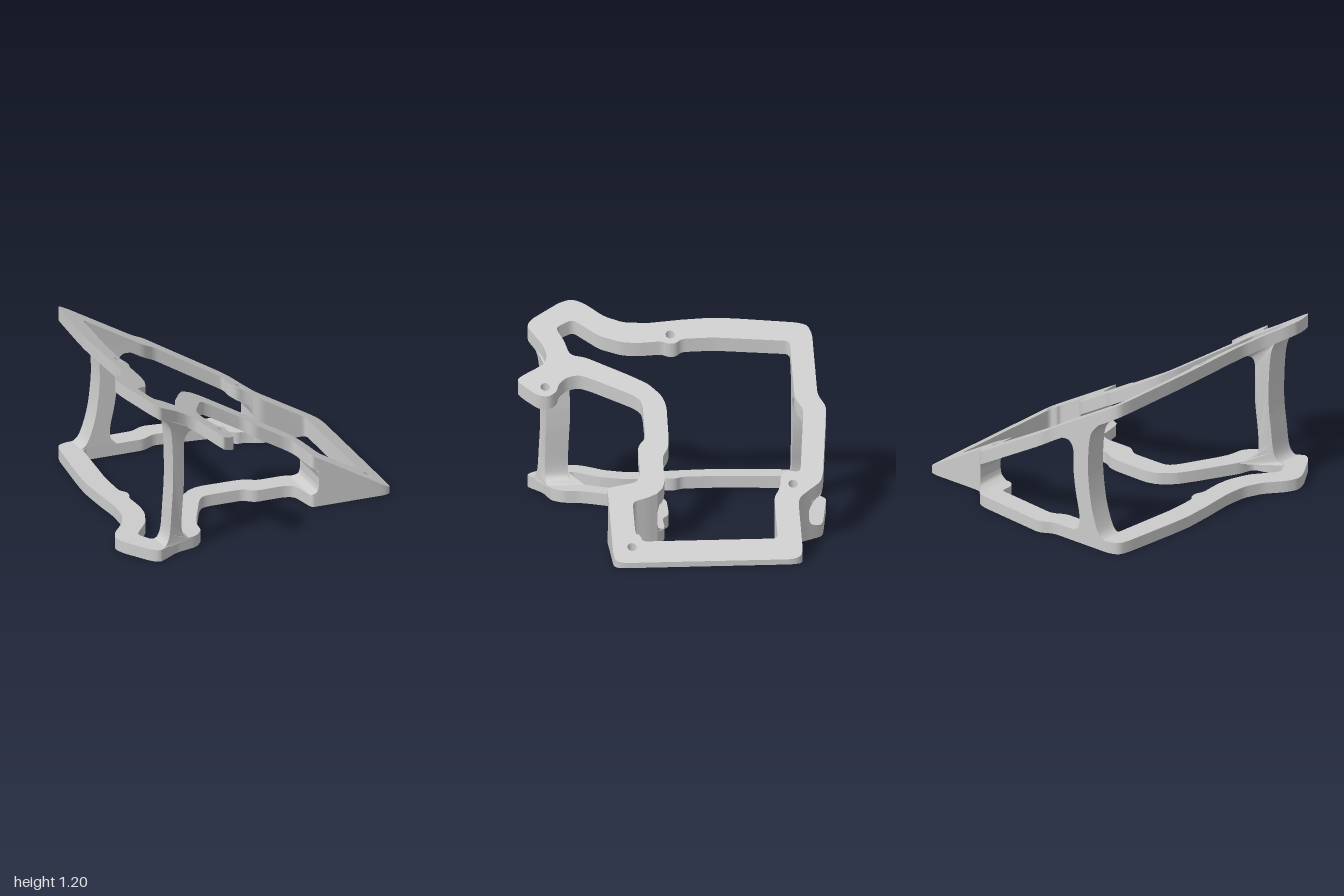
import * as THREE from 'three';
import { toCreasedNormals } from 'three/addons/utils/BufferGeometryUtils.js';

const material = new THREE.MeshStandardMaterial({ color: 0xcccccc });
const CUT = 0.48; // where the open frame meets the solid low end
const upper = (x) => 1.2 - 0.5825 * (x + 1);
const lower = (x) => upper(x) - 0.09;

// Closed shape from [x, z] points, every corner softened except at the cut
function roundedShape(points) {
  const shape = new THREE.Shape();
  const pts = points.map(([x, z]) => new THREE.Vector2(x, -z));
  pts.forEach((p, i) => {
    const prev = pts[(i + pts.length - 1) % pts.length];
    const next = pts[(i + 1) % pts.length];
    const r = p.x === CUT ? 0 : 0.035;
    const toward = (q) => p.clone().lerp(q, Math.min(0.45, r / p.distanceTo(q)));
    const a = toward(prev), b = toward(next);
    if (i === 0) shape.moveTo(a.x, a.y); else shape.lineTo(a.x, a.y);
    if (r) shape.quadraticCurveTo(p.x, p.y, b.x, b.y);
  });
  shape.closePath();
  return shape;
}

// Plan extruded between two height functions of x
function slab(name, points, bottom, top, holes = []) {
  const shape = roundedShape(points);
  for (const [x, z, r] of holes) {
    shape.holes.push(new THREE.Path().absarc(x, -z, r, 0, Math.PI * 2, true));
  }
  const geo = new THREE.ExtrudeGeometry(shape, { depth: 1, bevelEnabled: false, curveSegments: 6 });
  geo.rotateX(-Math.PI / 2);
  const p = geo.attributes.position;
  for (let i = 0; i < p.count; i++) {
    p.setY(i, p.getY(i) > 0.5 ? top(p.getX(i)) : bottom(p.getX(i)));
  }
  return finish(name, geo);
}

function finish(name, geo) {
  geo.computeVertexNormals();
  const mesh = new THREE.Mesh(toCreasedNormals(geo, 0.55), material);
  mesh.name = name;
  return mesh;
}

// Piecewise linear lookup of z at x
function along(table) {
  return (x) => {
    let i = 1;
    while (i < table.length - 1 && x > table[i][0]) i++;
    const [x0, z0] = table[i - 1], [x1, z1] = table[i];
    return z0 + (z1 - z0) * THREE.MathUtils.clamp((x - x0) / (x1 - x0), 0, 1);
  };
}

// Front-elevation profile extruded so that its ends follow the frame's plan
function upright(name, left, right, zBack, zFront) {
  const shape = new THREE.Shape();
  const edges = [left, right].map((e) =>
    new THREE.SplineCurve(e.map(([x, y]) => new THREE.Vector2(x, y))).getPoints(28));
  shape.setFromPoints([...edges[0], ...edges[1]]);
  const geo = new THREE.ExtrudeGeometry(shape, { depth: 1, bevelEnabled: false });
  const back = along(zBack), front = along(zFront);
  const p = geo.attributes.position;
  for (let i = 0; i < p.count; i++) {
    p.setZ(i, (p.getZ(i) > 0.5 ? front : back)(p.getX(i)));
  }
  return finish(name, geo);
}

// Outer edge: back, high side, then front corner
const outerBack = [
  [CUT, -0.83], [0.42, -0.91], [0.36, -0.93], [-0.15, -0.99], [-0.24, -0.94], [-0.7, -0.94],
  [-0.77, -0.915], [-0.79, -0.84], [-0.83, -0.45], [-0.84, -0.3], [-0.83, -0.1], [-0.81, 0.12],
  [-0.82, 0.28], [-0.87, 0.4], [-0.97, 0.52], [-1.005, 0.6], [-0.98, 0.68], [-0.86, 0.87],
  [-0.81, 0.905], [-0.76, 0.875], [-0.66, 0.81], [-0.58, 0.79],
];
const hook = [
  [-0.52, 0.81], [-0.43, 0.97], [-0.4, 1.0], [-0.36, 0.965], [-0.28, 0.87], [-0.27, 0.8],
  [-0.31, 0.745], [-0.36, 0.735], [-0.41, 0.68],
];
const plainCorner = [[-0.5, 0.77], [-0.44, 0.7]];
const outerArm = [
  [-0.43, 0.6], [-0.4, 0.52], [-0.27, 0.26], [-0.23, 0.21], [-0.18, 0.2], [0.06, 0.2],
  [0.12, 0.255], [0.33, 0.255], [0.39, 0.28], [0.43, 0.475], [CUT, 0.475],
];
const inner = [
  [CUT, 0.155], [0.44, 0.115], [0.38, 0.1], [0.2, 0.1], [0.14, 0.06], [0.08, 0.05],
  [-0.18, 0.045], [-0.26, 0.07], [-0.35, 0.15], [-0.42, 0.27], [-0.56, 0.54], [-0.58, 0.63],
  [-0.61, 0.65], [-0.69, 0.67], [-0.79, 0.72], [-0.85, 0.605], [-0.72, 0.44], [-0.67, 0.3],
  [-0.66, 0.2], [-0.67, 0.04], [-0.65, 0.0], [-0.65, -0.05], [-0.685, -0.09], [-0.69, -0.3],
  [-0.65, -0.79], [-0.22, -0.79], [-0.13, -0.84], [0.34, -0.785], [0.33, -0.7], [0.37, -0.65],
  [0.43, -0.65], [CUT, -0.63],
];
const lowEnd = [
  [CUT, 0.475], [0.94, 0.475], [0.985, 0.46], [1, 0.41], [1, -0.68], [0.98, -0.74], [0.93, -0.755],
  [0.57, -0.755], [0.53, -0.77], [CUT, -0.83], [CUT, -0.63], [0.53, -0.6], [0.84, -0.6],
  [0.84, 0.28], [0.79, 0.29], [0.78, 0.32], [0.54, 0.32], [0.51, 0.22], [CUT, 0.155],
];

export function createModel() {
  const group = new THREE.Group();
  const topPlan = [...outerBack, ...hook, ...outerArm, ...inner];
  const basePlan = [...outerBack, ...plainCorner, ...outerArm, ...inner];
  const level = (y) => () => y;

  // Sloping top rail with screw holes
  group.add(slab('topRail', topPlan, lower, upper,
    [[-0.72, -0.02, 0.03], [0.43, -0.73, 0.03], [-0.345, 0.82, 0.03]]));

  // Base rail with shallow round foot recesses underneath
  group.add(slab('baseRailUnderside', basePlan, level(0), level(0.03),
    [[-0.71, -0.865, 0.05], [-0.81, 0.81, 0.05], [-0.46, 0.5, 0.05]]));
  group.add(slab('baseRail', basePlan, level(0.03), level(0.08)));

  // Solid wedge at the low end
  group.add(slab('lowEndUnderside', lowEnd, level(0), level(0.025),
    [[0.92, -0.675, 0.05], [0.88, 0.35, 0.05]]));
  group.add(slab('lowEndWedge', lowEnd, level(0.025), upper, [[0.88, 0.35, 0.03]]));

  // Curved front post
  group.add(upright('frontPost',
    [[-0.8, 0.07], [-0.75, 0.09], [-0.72, 0.15], [-0.705, 0.3], [-0.69, 0.5], [-0.695, 0.75],
      [-0.715, 0.9], [-0.77, 0.985]],
    [[-0.52, 0.84], [-0.575, 0.82], [-0.6, 0.75], [-0.6, 0.5], [-0.62, 0.2], [-0.6, 0.11], [-0.54, 0.07]],
    [[-0.8, 0.71], [-0.78, 0.715], [-0.69, 0.67], [-0.61, 0.65], [-0.58, 0.62], [-0.52, 0.48]],
    [[-0.81, 0.89], [-0.66, 0.81], [-0.58, 0.79], [-0.52, 0.775]]));

  // Curved back post
  group.add(upright('backPost',
    [[-0.7, 0.07], [-0.64, 0.09], [-0.6, 0.15], [-0.555, 0.3], [-0.53, 0.5], [-0.53, 0.65],
      [-0.545, 0.78], [-0.575, 0.84], [-0.64, 0.91]],
    [[-0.28, 0.7], [-0.36, 0.708], [-0.402, 0.65], [-0.405, 0.5], [-0.425, 0.35], [-0.455, 0.2],
      [-0.445, 0.11], [-0.39, 0.07]],
    [[-0.7, -0.94], [-0.28, -0.94]], [[-0.7, -0.79], [-0.28, -0.79]]));

  // Rounded window ends where the rails meet the wedge
  const sides = [
    ['back', [[0.4, -0.92], [0.42, -0.91], [CUT, -0.83]], [[0.4, -0.65], [CUT, -0.63]]],
    ['front', [[0.4, 0.105], [CUT, 0.155]], [[0.4, 0.33], [0.43, 0.472], [CUT, 0.475]]],
  ];
  for (const [side, zBack, zFront] of sides) {
    group.add(upright(side + 'LowerFillet',
      [[CUT, 0.07], [CUT, 0.14]], [[CUT, 0.14], [0.465, 0.1], [0.41, 0.075]], zBack, zFront));
    group.add(upright(side + 'UpperFillet',
      [[CUT, 0.2], [CUT, 0.26]], [[0.4, 0.3], [0.455, 0.255], [CUT, 0.2]], zBack, zFront));
  }
  return group;
}
